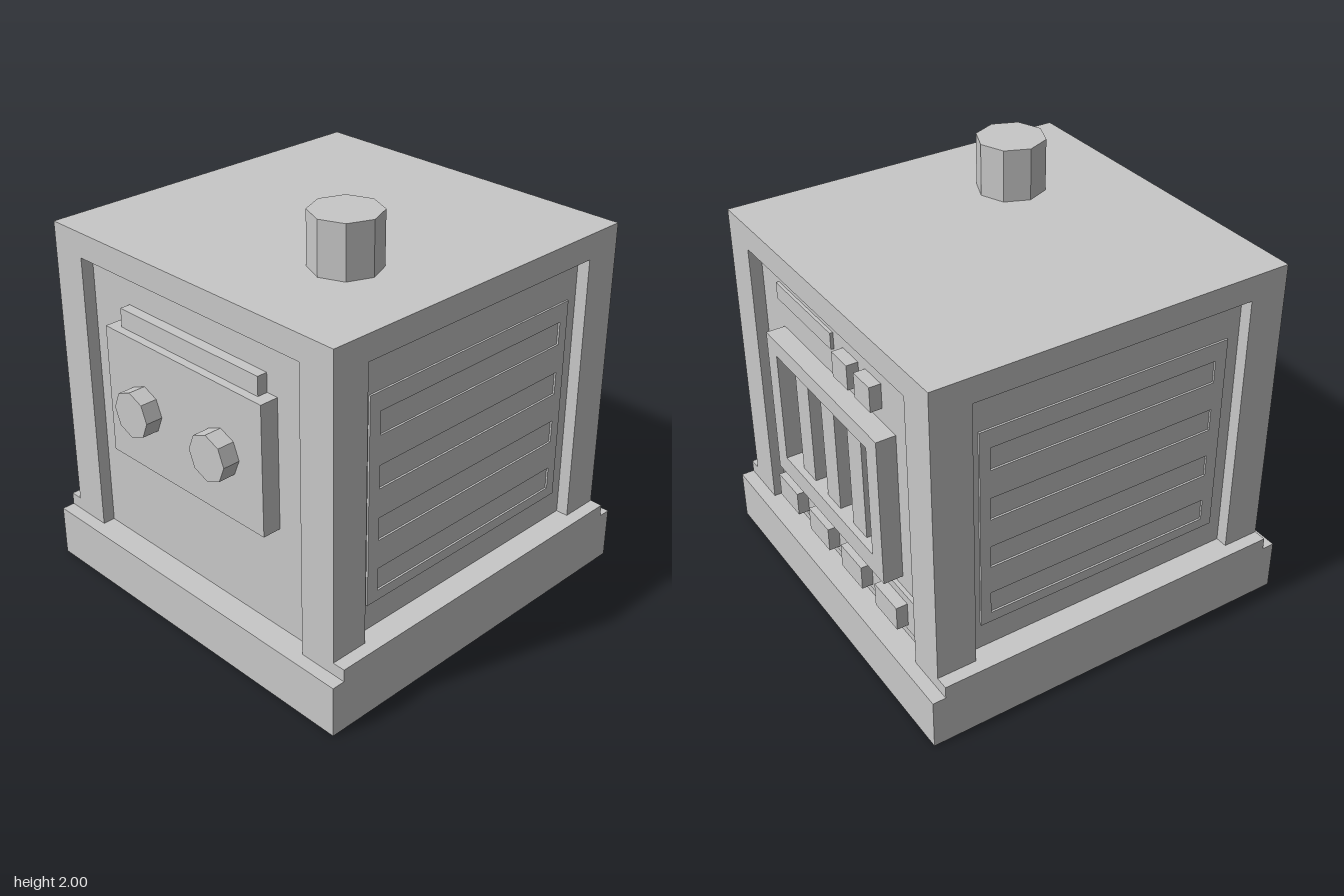
import * as THREE from 'three';

export function createModel() {
  const model = new THREE.Group();
  model.name = 'heaterUnit';
  const grey = new THREE.MeshStandardMaterial({ color: 0xc8c8c8 });
  grey.name = 'plain grey';

  const add = (name, geometry) => {
    const mesh = new THREE.Mesh(geometry, grey);
    mesh.name = name;
    model.add(mesh);
    return mesh;
  };
  // Box given by its limits on each axis
  const box = (name, x0, x1, y0, y1, z0, z1) =>
    add(name, new THREE.BoxGeometry(x1 - x0, y1 - y0, z1 - z0)
      .translate((x0 + x1) / 2, (y0 + y1) / 2, (z0 + z1) / 2));
  // Rectangular plate with rectangular holes, extruded along +z
  const rect = (Type, x0, x1, y0, y1) => new Type().moveTo(x0, y0)
    .lineTo(x1, y0).lineTo(x1, y1).lineTo(x0, y1).closePath();
  const plate = (outer, holes, depth) => {
    const shape = rect(THREE.Shape, ...outer);
    holes.forEach(h => shape.holes.push(rect(THREE.Path, ...h)));
    return new THREE.ExtrudeGeometry(shape, { depth, bevelEnabled: false });
  };

  // Base, cabinet core and top
  box('base', -0.9375, 0.9375, 0, 0.25, -0.9625, 0.9125);
  box('cabinetCore', -0.815, 0.815, 0.25, 1.63, -0.84, 0.79);
  box('cabinetTop', -0.875, 0.875, 1.63, 1.75, -0.9, 0.85);

  // Corner posts and side sills frame the recessed panels
  for (const s of [-1, 1]) {
    const side = (name, a, b, ...rest) =>
      box(name, Math.min(s * a, s * b), Math.max(s * a, s * b), ...rest);
    side('frontPost', 0.69, 0.875, 0.25, 1.63, 0.665, 0.85);
    side('backPost', 0.69, 0.875, 0.25, 1.63, -0.9, -0.71);
    side('sideSill', 0.69, 0.9375, 0.25, 0.31, -0.9, 0.85);
  }

  // Thin slotted panel on each side
  const slots = [0, 1, 2, 3].map(i => [-0.54, 0.6, 0.49 + i * 0.25, 0.6 + i * 0.25]);
  for (const s of [-1, 1]) {
    const mirrored = slots.map(([a, b, c, d]) => s > 0 ? [a, b, c, d] : [-b, -a, c, d]);
    const outer = s > 0 ? [-0.6, 0.65, 0.44, 1.44] : [-0.65, 0.6, 0.44, 1.44];
    const panel = add('ventPanel', plate(outer, mirrored, 0.009));
    panel.rotation.y = s * Math.PI / 2;
    panel.position.x = s * 0.815;
  }

  // Front control panel with two knobs
  box('controlPanel', -0.5, 0.5, 0.76, 1.38, 0.79, 0.88);
  box('controlPanelTop', -0.44, 0.44, 1.38, 1.47, 0.79, 0.84);
  for (const x of [-0.25, 0.25]) {
    const knob = add('knob', new THREE.CylinderGeometry(0.11, 0.11, 0.085, 8).toNonIndexed());
    knob.geometry.computeVertexNormals();
    knob.rotation.x = Math.PI / 2;
    knob.position.set(x, 1.065, 0.92);
  }

  // Chimney
  const chimney = add('chimney', new THREE.CylinderGeometry(0.162, 0.162, 0.25, 8).toNonIndexed());
  chimney.geometry.computeVertexNormals();
  chimney.position.set(0.373, 1.875, 0.285);

  // Back grille: frame with upright bars
  const frame = add('grilleFrame', plate([-0.5, 0.5, 0.57, 1.31], [[-0.41, 0.41, 0.67, 1.23]], 0.093));
  frame.position.z = -0.933;
  for (const x of [-0.24, 0, 0.24]) {
    box('grilleBar', x - 0.06, x + 0.06, 0.67, 1.23, -0.9, -0.84);
  }

  // Back label strip and two switches
  box('labelStrip', 0.01, 0.52, 1.45, 1.53, -0.855, -0.84);
  for (const x of [-0.14, -0.33]) {
    box('switch', x - 0.065, x + 0.065, 1.38, 1.5, -0.895, -0.84);
  }

  // Row of buttons on a thin plate
  box('buttonPlate', -0.63, 0.63, 0.32, 0.51, -0.86, -0.84);
  for (const x of [-0.47, -0.157, 0.157, 0.47]) {
    box('button', x - 0.095, x + 0.095, 0.35, 0.47, -0.915, -0.86);
  }

  return model;
}
